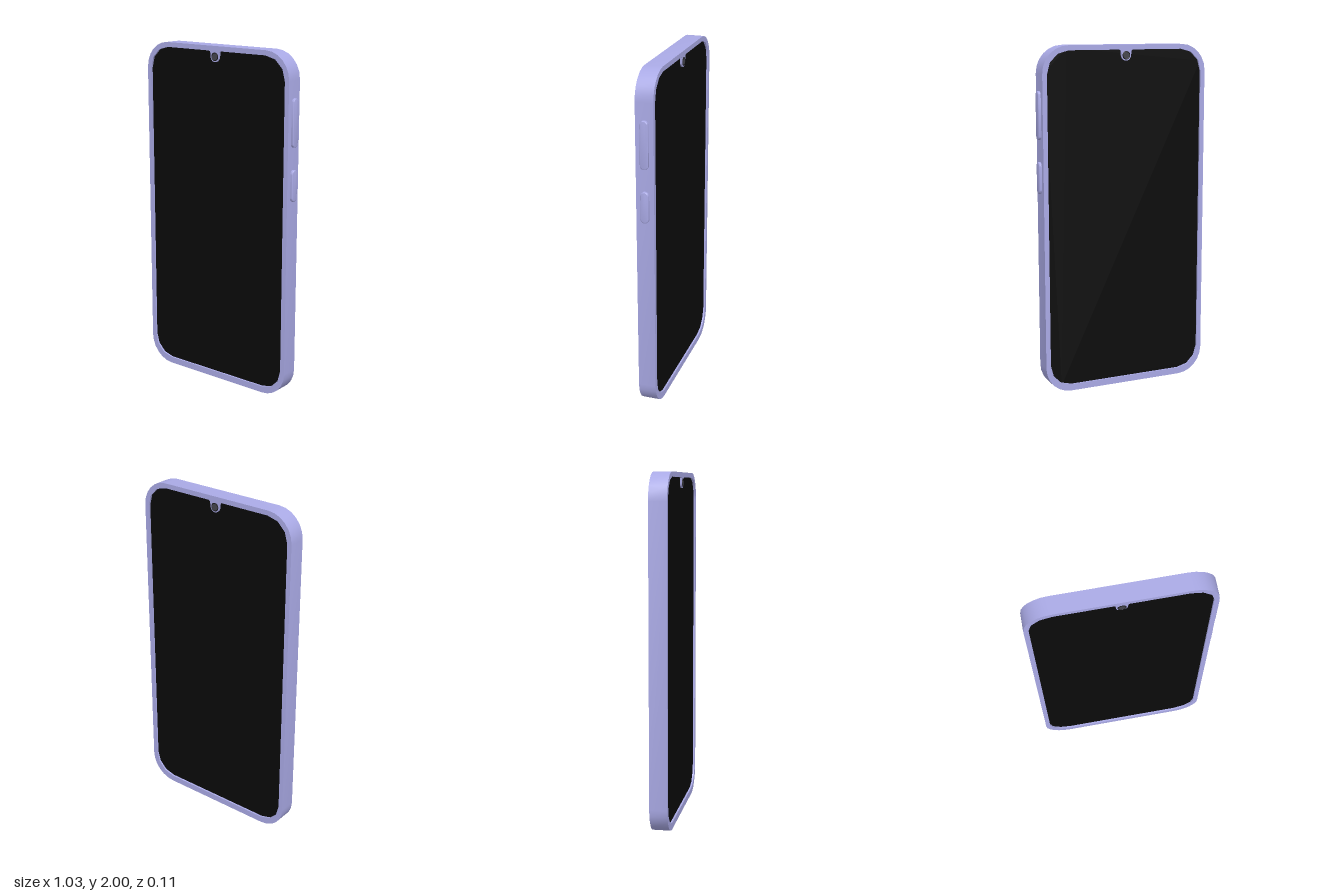
import * as THREE from 'three';
import { toCreasedNormals } from 'three/addons/utils/BufferGeometryUtils.js';

const material = (color) => new THREE.MeshStandardMaterial({ color });
const CX = -0.008; // middle of the body, the buttons stick out on +x

// points along an arc, n segments
function arc(cx, cy, r, from, to, n) {
  return Array.from({ length: n + 1 }, (_, i) => {
    const a = from + ((to - from) * i) / n;
    return new THREE.Vector2(cx + r * Math.cos(a), cy + r * Math.sin(a));
  });
}

// counter-clockwise rounded rectangle; extra points may interrupt its top edge
function roundedRect(x0, x1, y0, y1, r, n, topEdge = []) {
  const q = Math.PI / 2;
  return [
    ...arc(x0 + r, y0 + r, r, 2 * q, 3 * q, n),
    ...arc(x1 - r, y0 + r, r, 3 * q, 4 * q, n),
    ...arc(x1 - r, y1 - r, r, 0, q, n),
    ...topEdge,
    ...arc(x0 + r, y1 - r, r, q, 2 * q, n),
  ];
}

// extrusion centred on z = 0
function slab(points, depth, hole, bevel = 0) {
  const shape = new THREE.Shape(points);
  if (hole) shape.holes.push(new THREE.Path(hole));
  const geometry = new THREE.ExtrudeGeometry(shape, {
    depth: depth - 2 * bevel, bevelEnabled: bevel > 0,
    bevelSize: bevel, bevelOffset: -bevel, bevelThickness: bevel, bevelSegments: 3,
  });
  geometry.translate(0, 0, -depth / 2 + bevel);
  return toCreasedNormals(geometry, 0.6);
}

export function createModel() {
  const phone = new THREE.Group();
  phone.name = 'phone';
  const body = material(0xaaaae6);
  const black = material(0x0a0a0a);
  const dark = material(0x1c1c20);
  const glass = material(0x44444c);

  function add(name, geometry, mat, x = 0, y = 0, z = 0) {
    const mesh = new THREE.Mesh(geometry, mat);
    mesh.name = name;
    mesh.position.set(x, y, z);
    phone.add(mesh);
    return mesh;
  }

  // frame ring, its opening interrupted at the top by the camera tab
  const top = 1.972;
  const tab = [
    new THREE.Vector2(CX + 0.042, top),
    new THREE.Vector2(CX + 0.033, top - 0.005),
    ...arc(CX, 1.94, 0.03, 0, -Math.PI, 12),
    new THREE.Vector2(CX - 0.033, top - 0.005),
    new THREE.Vector2(CX - 0.042, top),
  ];
  const outer = roundedRect(-0.515, 0.5, 0, 2, 0.155, 6);
  const opening = roundedRect(-0.488, 0.472, 0.038, top, 0.13, 3, tab);
  add('frame', slab(outer, 0.102, opening), body);

  // black glass, slightly recessed on both faces
  add('screen', slab(roundedRect(-0.5, 0.485, 0.025, 1.985, 0.135, 4), 0.08), black);

  // camera on each face
  for (const side of [1, -1]) {
    const label = side > 0 ? 'front' : 'back';
    const ring = add(label + 'CameraRing', new THREE.TorusGeometry(0.021, 0.003, 6, 24), dark, CX, 1.94, side * 0.051);
    const lens = add(label + 'CameraLens', new THREE.CircleGeometry(0.02, 24), glass, CX, 1.94, side * 0.052);
    if (side < 0) ring.rotation.y = lens.rotation.y = Math.PI;
  }

  // side buttons, pill shaped
  for (const [name, y0, y1] of [['volumeButton', 1.48, 1.75], ['powerButton', 1.175, 1.355]]) {
    const half = (y1 - y0) / 2;
    const pill = roundedRect(-0.0235, 0.0235, -half, half, 0.0235, 6);
    add(name, slab(pill, 0.03, null, 0.005), body, 0.5, (y0 + y1) / 2).rotation.y = Math.PI / 2;
  }

  // openings along the bottom edge
  for (const [name, x, length, width, mat] of [
    ['chargingPort', 0, 0.15, 0.04, dark],
    ['speakerSlot', -0.22, 0.15, 0.022, dark],
    ['cardTray', 0.22, 0.2, 0.016, body],
  ]) {
    const pill = roundedRect(-length / 2, length / 2, -width / 2, width / 2, width / 2, 6);
    add(name, slab(pill, 0.006), mat, CX + x, 0.002).rotation.x = Math.PI / 2;
  }
  return phone;
}
